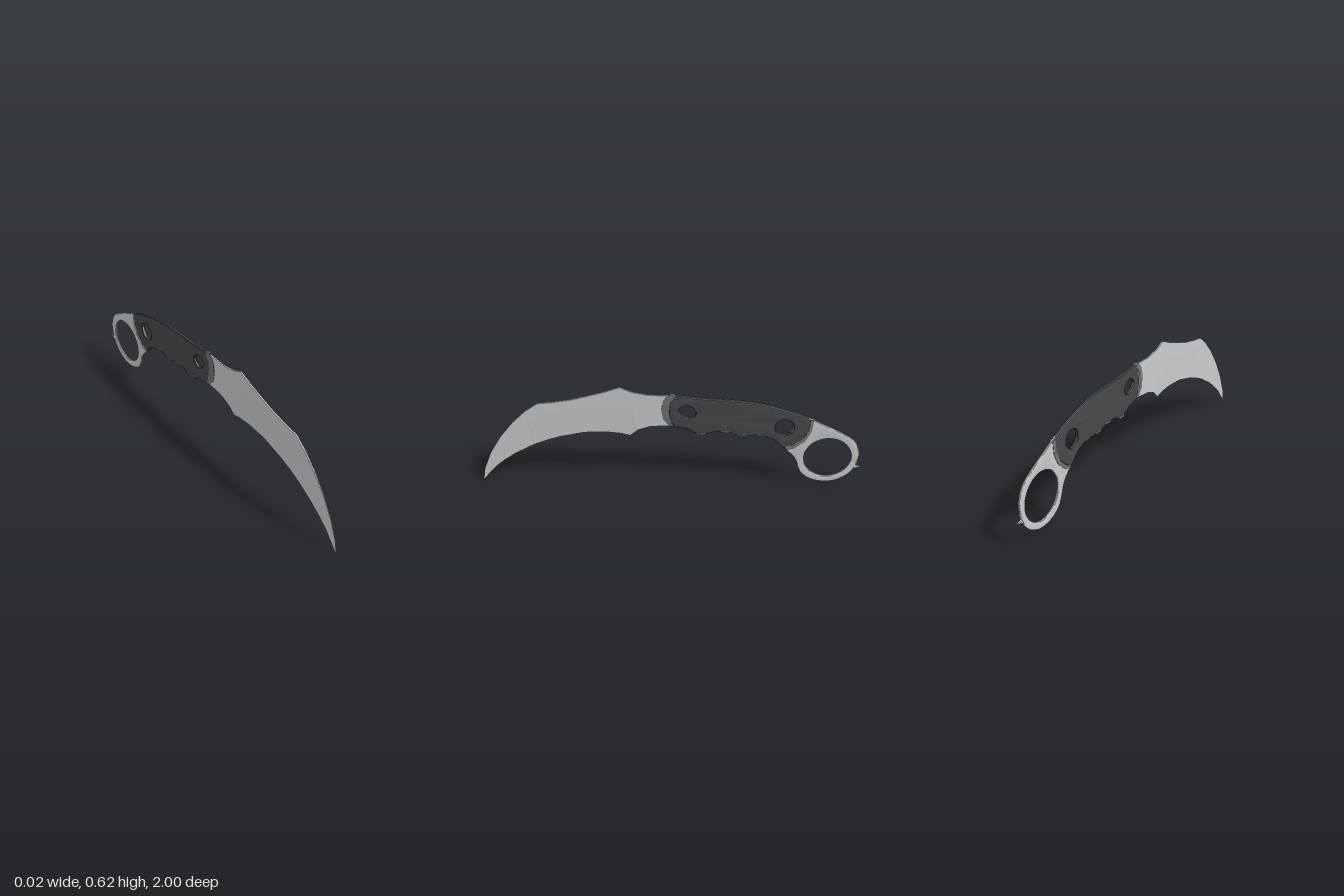
import * as THREE from 'three';
import { toCreasedNormals } from 'three/addons/utils/BufferGeometryUtils.js';

// All outlines are side profiles given as [z, y]; thickness runs along x.
const steel = new THREE.MeshStandardMaterial({ color: 0xcccccc });
const gripDark = new THREE.MeshStandardMaterial({ color: 0x484848 });
const gripGrey = new THREE.MeshStandardMaterial({ color: 0x747474 });

const vec = (pts) => pts.map(([z, y]) => new THREE.Vector2(z, y));
const smooth = (pts, n) => new THREE.SplineCurve(vec(pts)).getPoints(n);

function addMesh(parent, name, geometry, material) {
  const mesh = new THREE.Mesh(geometry, material);
  mesh.name = name;
  parent.add(mesh);
}

// Chamfered plate whose silhouette is exactly the outline
function plate(outline, holes, half, bevel, bevelDepth) {
  const shape = new THREE.Shape(outline);
  shape.holes = holes.map((h) => new THREE.Path(h));
  const depth = 2 * (half - bevelDepth);
  const geo = new THREE.ExtrudeGeometry(shape, {
    depth, bevelEnabled: true, bevelSize: bevel, bevelOffset: -bevel,
    bevelThickness: bevelDepth, bevelSegments: 2,
  });
  geo.translate(0, 0, -depth / 2).rotateY(-Math.PI / 2);
  return toCreasedNormals(geo, 0.5);
}

// Skin over closed loops that follow each other towards -z
function loft(loops) {
  const pos = [];
  for (let s = 0; s < loops.length - 1; s++) {
    const a = loops[s], b = loops[s + 1], n = a.length;
    for (let i = 0; i < n; i++) {
      const j = (i + 1) % n;
      pos.push(...a[i], ...b[j], ...a[j], ...a[i], ...b[i], ...b[j]);
    }
  }
  const geo = new THREE.BufferGeometry();
  geo.setAttribute('position', new THREE.Float32BufferAttribute(pos, 3));
  geo.computeVertexNormals();
  return geo;
}

// Mirrored loop from points [z, y, halfThickness] listed bottom to top
const loop = (pts) => [
  ...pts.map(([z, y, h]) => [h, y, z]),
  ...[...pts].reverse().map(([z, y, h]) => [-h, y, z]),
];

function circle(z, y, r, n) {
  return Array.from({ length: n }, (_, i) => {
    const a = (i / n) * Math.PI * 2;
    return new THREE.Vector2(z + r * Math.cos(a), y + r * Math.sin(a));
  });
}

function blade() {
  const T = 0.004;
  // Tip: the bevel reaches the spine. [edge, spine, half thickness]
  const tip = [
    [[1, 0], [1, 0], 0],
    [[0.975, 0.03], [0.984, 0.08], 0.001],
    [[0.92, 0.096], [0.94, 0.187], 0.0016],
    [[0.87, 0.14], [0.88, 0.289], 0.0023],
    [[0.807, 0.187], [0.807, 0.385], 0.003],
    [[0.706, 0.246], [0.738, 0.455], 0.0037],
  ].map(([e, s, h]) => loop([[...e, 0], [...s, h], [...s, h]]));
  // Body: [edge, bevel line, spine, edge half thickness]
  const body = [
    [[0.64, 0.275], [0.72, 0.417], [0.668, 0.508], 0],
    [[0.572, 0.3], [0.62, 0.456], [0.6, 0.516], 0],
    [[0.438, 0.332], [0.52, 0.476], [0.5, 0.534], 0],
    [[0.32, 0.337], [0.4, 0.488], [0.41, 0.56], 0],
    [[0.25, 0.33], [0.33, 0.492], [0.32, 0.588], 0],
    [[0.203, 0.318], [0.29, 0.492], [0.25, 0.615], 0],
    [[0.16, 0.358], [0.19, 0.48], [0.187, 0.588], T],
    [[0.1, 0.38], [0.1, 0.48], [0.107, 0.572], T],
    [[-0.025, 0.39], [-0.025, 0.48], [-0.025, 0.572], T],
  ].map(([e, b, s, h]) => loop([[...e, h], [...b, T], [...s, T]]));
  return loft([...tip, ...body]);
}

function handle() {
  const top = smooth([[-0.02, 0.575], [-0.15, 0.561], [-0.283, 0.553], [-0.417, 0.54],
    [-0.55, 0.508], [-0.658, 0.47], [-0.714, 0.444]], 24);
  const rear = vec([[-0.708, 0.38], [-0.682, 0.322], [-0.634, 0.279], [-0.588, 0.262]]);
  const grip = vec([[-0.54, 0.31], [-0.487, 0.334], [-0.45, 0.342], [-0.417, 0.337], [-0.385, 0.339],
    [-0.348, 0.337], [-0.3, 0.358], [-0.23, 0.358], [-0.187, 0.342], [-0.15, 0.337],
    [-0.118, 0.355], [-0.086, 0.374], [-0.02, 0.388]]);
  const front = vec([[-0.003, 0.42], [0.005, 0.475], [0, 0.535]]);
  // Worn-looking front hole and round rear hole
  const frontHole = vec([[-0.043, 0.487], [-0.059, 0.508], [-0.086, 0.521], [-0.112, 0.508],
    [-0.134, 0.476], [-0.128, 0.455], [-0.096, 0.439], [-0.064, 0.455]]);
  return plate([...top, ...rear, ...grip, ...front],
    [frontHole, circle(-0.583, 0.393, 0.048, 16)], 0.011, 0.01, 0.005);
}

// Sloped end collar between two arcs, each with a half thickness
const collar = (...arcs) => loft(arcs.map(([pts, h]) => loop(pts.map((p) => [...p, h]))));

function fingerRing() {
  const outline = smooth([[-0.66, 0.465], [-0.717, 0.444], [-0.791, 0.406], [-0.872, 0.364],
    [-0.936, 0.321], [-0.968, 0.273], [-0.979, 0.214], [-0.968, 0.171], [-0.957, 0.128],
    [-0.925, 0.086], [-0.872, 0.053], [-0.818, 0.043], [-0.754, 0.053], [-0.7, 0.086],
    [-0.674, 0.128], [-0.658, 0.176], [-0.636, 0.214], [-0.604, 0.246], [-0.585, 0.28]], 64);
  return plate(outline, [circle(-0.818, 0.203, 0.123, 40)], 0.006, 0.008, 0.003);
}

export function createModel() {
  const knife = new THREE.Group();
  knife.name = 'curvedKnife';

  addMesh(knife, 'blade', blade(), steel);
  addMesh(knife, 'handle', handle(), gripDark);
  addMesh(knife, 'fingerRing', fingerRing(), steel);

  // Collars at both ends of the grip
  const f0 = [[0, 0.385], [0.034, 0.43], [0.043, 0.49], [0.032, 0.545], [0, 0.58]];
  const f1 = [[-0.022, 0.388], [-0.006, 0.42], [0.004, 0.475], [-0.002, 0.535], [-0.027, 0.575]];
  addMesh(knife, 'frontCollar', collar([f0, 0.003], [f0, 0.006], [f1, 0.0107]), gripGrey);
  const r0 = [[-0.588, 0.262], [-0.634, 0.28], [-0.68, 0.322], [-0.706, 0.38], [-0.712, 0.444]];
  const r1 = [[-0.604, 0.25], [-0.642, 0.26], [-0.695, 0.31], [-0.722, 0.37], [-0.727, 0.439]];
  addMesh(knife, 'rearCollar', collar([r0, 0.0107], [r1, 0.0075], [r1, 0.003]), gripGrey);

  // Small finger notches along the underside of the grip
  for (const [z, y] of [[-0.16, 0.344], [-0.283, 0.362], [-0.37, 0.344], [-0.468, 0.346]]) {
    const notch = new THREE.BoxGeometry(0.0205, 0.014, 0.045);
    addMesh(knife, 'gripNotch', notch.translate(0, y, z), gripGrey);
  }

  // Little spur on the back of the ring
  const spur = vec([[-0.955, 0.19], [-0.978, 0.18], [-0.968, 0.155], [-0.995, 0.146], [-0.962, 0.134], [-0.952, 0.15]]);
  addMesh(knife, 'ringSpur', plate(spur, [], 0.004, 0.002, 0.002), steel);

  return knife;
}
